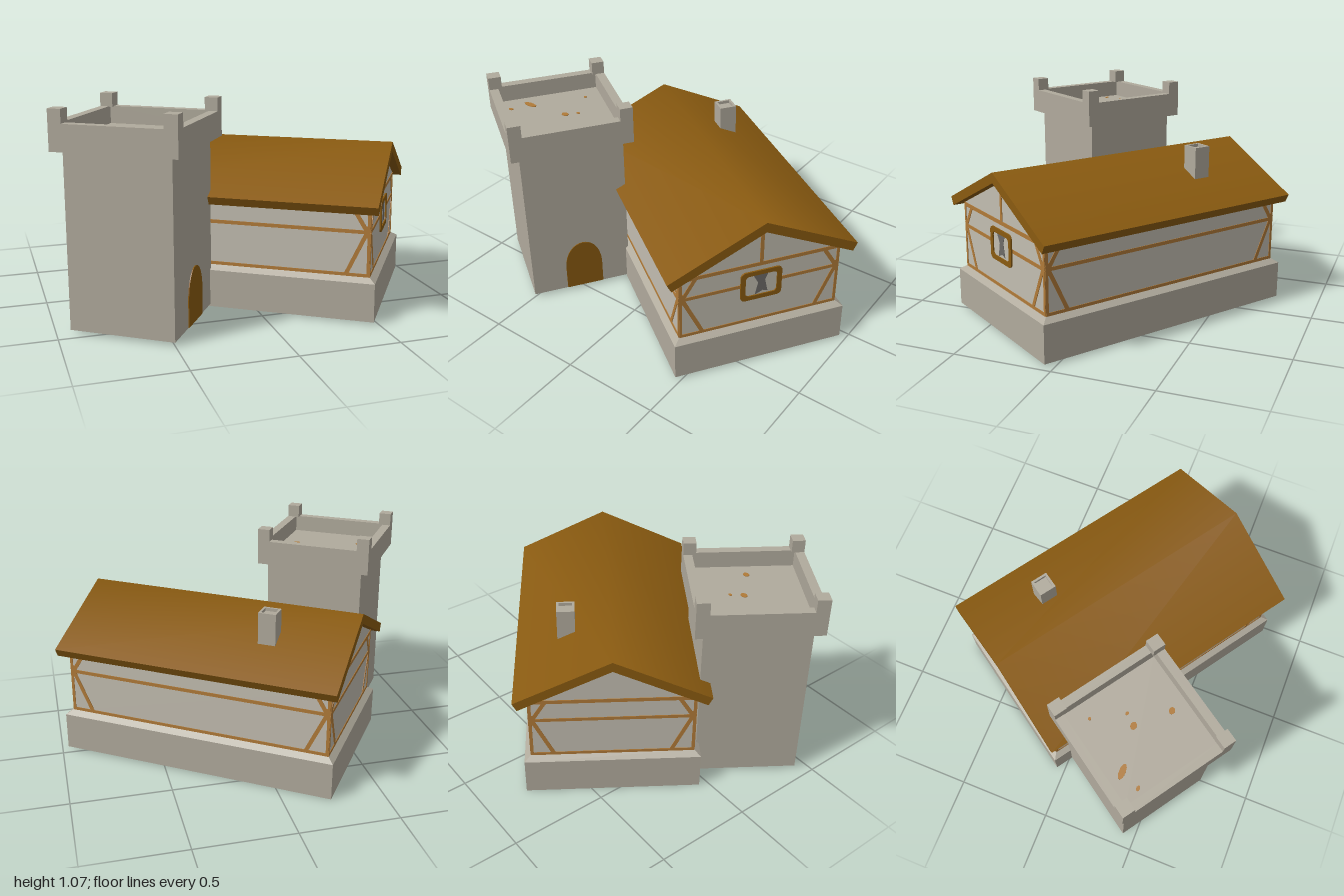
import * as THREE from 'three';
import { toCreasedNormals } from 'three/addons/utils/BufferGeometryUtils.js';

const material = (name, color) => {
  const m = new THREE.MeshStandardMaterial({ color });
  m.name = name;
  return m;
};

export function createModel() {
  const stone = material('stone', 0xb0aa9c);
  const plaster = material('plaster', 0xc2bdb0);
  const timber = material('timber', 0xb07a38);
  const brown = material('brown wood', 0x895a10);
  const glass = material('dark glass', 0x6c6a66);

  const add = (parent, name, geo, mat, x = 0, y = 0, z = 0) => {
    const m = new THREE.Mesh(geo, mat);
    m.name = name;
    m.position.set(x, y, z);
    parent.add(m);
    return m;
  };
  const group = (parent, name, x = 0, y = 0, z = 0, ry = 0) => {
    const g = new THREE.Group();
    g.name = name;
    g.position.set(x, y, z);
    g.rotation.y = ry;
    parent.add(g);
    return g;
  };
  const box = (parent, name, mat, w, y0, y1, d, x = 0, z = 0) =>
    add(parent, name, new THREE.BoxGeometry(w, y1 - y0, d), mat, x, (y0 + y1) / 2, z);
  const polygon = (pts) => new THREE.Shape(pts.map(([x, y]) => new THREE.Vector2(x, y)));
  const extrude = (shape, depth) =>
    new THREE.ExtrudeGeometry(shape, { depth, bevelEnabled: false, curveSegments: 8 });
  // Extruded along the ridge, centred on x
  const alongRidge = (pts, length) =>
    extrude(polygon(pts), length).translate(0, 0, -length / 2).rotateY(Math.PI / 2);
  const square = (h) => [[-h, -h], [h, -h], [h, h], [-h, h]];
  // Hollow square rim between two heights
  const rim = (parent, name, outer, inner, y0, y1, x = 0, z = 0) => {
    const s = polygon(square(outer));
    s.holes.push(polygon(square(inner)));
    return add(parent, name, extrude(s, y1 - y0).rotateX(-Math.PI / 2), stone, x, y0, z);
  };
  const rounded = (w, h, r) => {
    const s = new THREE.Shape();
    s.absarc(w / 2 - r, h / 2 - r, r, 0, Math.PI / 2);
    s.absarc(-w / 2 + r, h / 2 - r, r, Math.PI / 2, Math.PI);
    s.absarc(-w / 2 + r, -h / 2 + r, r, Math.PI, Math.PI * 1.5);
    s.absarc(w / 2 - r, -h / 2 + r, r, Math.PI * 1.5, Math.PI * 2);
    return s;
  };

  const model = new THREE.Group();
  model.name = 'houseWithTower';
  const turn = -0.597;

  // House, leaning very slightly along its ridge
  const house = group(model, 'house', 0.12, 0.01, 0, turn);
  house.rotation.z = 0.008;
  const WL = 0.695, WD = 0.407;

  // Stone footing with a sloped top edge
  box(house, 'footing', stone, 1.454, -0.008, 0.185, 0.88);
  const ledge = new THREE.BoxGeometry(1.454, 0.024, 0.88);
  const p = ledge.attributes.position;
  for (let i = 0; i < p.count; i++) {
    if (p.getY(i) > 0) p.setXYZ(i, Math.sign(p.getX(i)) * WL, p.getY(i), Math.sign(p.getZ(i)) * WD);
  }
  ledge.computeVertexNormals();
  add(house, 'footingLedge', ledge, stone, 0, 0.197, 0);

  // Plastered walls with gables
  add(house, 'walls', alongRidge(
    [[-WD, 0.2], [WD, 0.2], [WD, 0.552], [0, 0.746], [-WD, 0.552]], WL * 2), plaster);

  // Gabled roof slab
  const roof = alongRidge([[-0.477, 0.572], [-0.456, 0.53], [0, 0.748],
    [0.456, 0.53], [0.477, 0.572], [0, 0.8]], 1.475);
  add(house, 'roof', toCreasedNormals(roof, 1.0), brown);

  // Chimney
  box(house, 'chimney', stone, 0.09, 0.6, 0.822, 0.09, -0.322, -0.216);
  rim(house, 'chimneyRim', 0.045, 0.033, 0.822, 0.838, -0.322, -0.216);

  // Timber framing, drawn flat on each wall
  const frame = (name, half, x, z, ry, gable) => {
    const g = group(house, name, x, 0, z, ry);
    const strip = (x1, y1, x2, y2, w) => {
      const m = add(g, 'beam', new THREE.BoxGeometry(Math.hypot(x2 - x1, y2 - y1), w, 0.006),
        timber, (x1 + x2) / 2, (y1 + y2) / 2, 0);
      m.rotation.z = Math.atan2(y2 - y1, x2 - x1);
    };
    strip(-half, 0.215, half, 0.215, 0.016);
    strip(-half, 0.432, half, 0.432, 0.018);
    strip(-half, 0.544, half, 0.544, 0.02);
    for (const s of [-1, 1]) {
      const e = s * (half - 0.007);
      strip(e, 0.21, e, 0.55, 0.014);
      strip(e, 0.45, s * (half - 0.115), 0.215, 0.02);
      strip(e, 0.42, s * (half - 0.08), 0.54, 0.02);
      add(g, 'joint', new THREE.BoxGeometry(0.03, 0.06, 0.006), timber, s * (half - 0.016), 0.432, 0);
    }
    if (gable) strip(0, 0.54, 0, 0.735, 0.018);
    return g;
  };
  frame('frontFraming', WL, 0, WD, 0, false);
  frame('backFraming', WL, 0, -WD, Math.PI, false);
  frame('farGableFraming', WD, -WL, 0, -Math.PI / 2, false);
  const gable = frame('windowGableFraming', WD, WL, 0, Math.PI / 2, true);

  // Gable window with pale curtains and a dark gap
  const win = group(gable, 'window', 0, 0.428, 0.003);
  const surround = rounded(0.21, 0.166, 0.025);
  surround.holes.push(rounded(0.16, 0.118, 0.02));
  add(win, 'windowFrame', extrude(surround, 0.008), brown);
  add(win, 'curtains', extrude(rounded(0.17, 0.126, 0.02), 0.002), plaster);
  add(win, 'glassGap', extrude(polygon([[-0.04, 0.058], [0.035, 0.058], [0.02, 0.02],
    [0.035, -0.05], [0.01, -0.04], [-0.03, -0.058], [-0.015, 0.01]]), 0.004), glass);

  // Tower
  const tower = group(model, 'tower', -0.569, 0, 0.365, turn);
  box(tower, 'towerBody', stone, 0.525, 0.012, 0.9, 0.525);
  box(tower, 'towerFloor', stone, 0.615, 0.873, 0.915, 0.615);
  rim(tower, 'parapet', 0.3075, 0.262, 0.915, 1.002);
  for (const sx of [-1, 1]) {
    for (const sz of [-1, 1]) {
      box(tower, 'merlon', stone, 0.065, 1.0, 1.068, 0.065, sx * 0.275, sz * 0.275);
    }
  }

  // Arched door
  const arch = new THREE.Shape();
  arch.moveTo(-0.098, 0.014);
  arch.lineTo(0.098, 0.014);
  arch.lineTo(0.098, 0.15);
  arch.bezierCurveTo(0.095, 0.24, 0.05, 0.292, 0, 0.292);
  arch.bezierCurveTo(-0.05, 0.292, -0.095, 0.24, -0.098, 0.15);
  add(tower, 'door', extrude(arch, 0.005), brown, 0.2625, 0, -0.015).rotation.y = Math.PI / 2;

  // Worn brown patches on the tower floor
  const patches = [[-0.78, 0.36, 0.04, 0.016], [-0.56, 0.33, 0.02, 0.016],
    [-0.425, 0.472, 0.018, 0.015], [-0.825, 0.455, 0.014, 0.009],
    [-0.515, 0.28, 0.01, 0.008], [-0.605, 0.125, 0.008, 0.008]];
  for (const [x, z, rx, rz] of patches) {
    add(model, 'floorPatch', new THREE.CylinderGeometry(1, 1, 0.004, 9).scale(rx, 1, rz),
      timber, x, 0.916, z);
  }
  return model;
}
